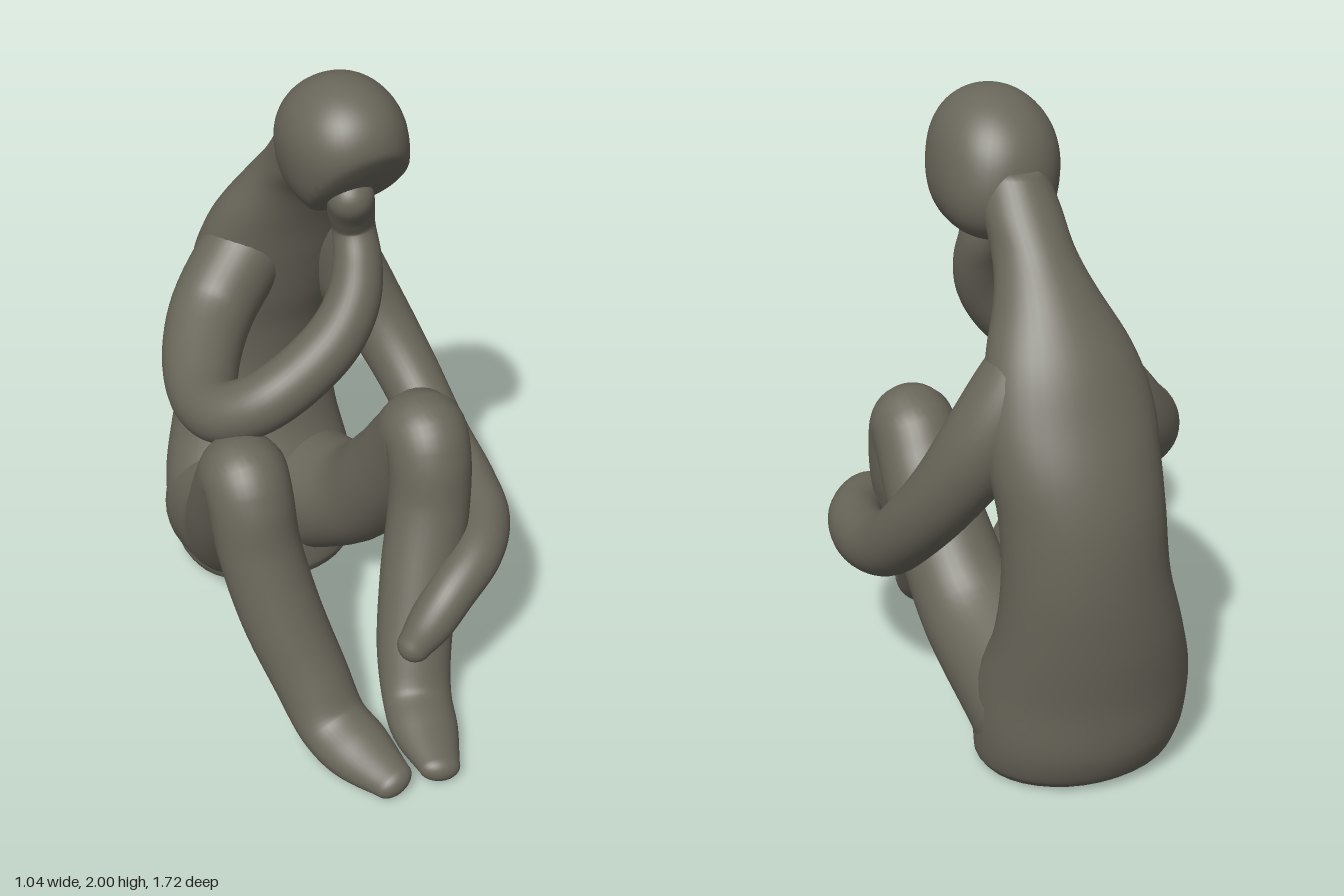
import * as THREE from 'three';

const SIDES = 36;
const clay = new THREE.MeshStandardMaterial({ color: 0x69665a });
clay.name = 'grey clay';
const base = new THREE.MeshStandardMaterial({ color: 0xc79470 });
base.name = 'brown underside';

// Skin a list of rings; faces lying flat on the ground become a separate underside mesh
function loft(name, rings) {
  const pos = [], skin = [], under = [];
  const centre = (r) => r.reduce((s, p) => s.add(p), new THREE.Vector3()).divideScalar(r.length);
  const last = rings.length - 1;
  const all = [...rings.flat(), centre(rings[0]), centre(rings[last])];
  all.forEach((p) => pos.push(p.x, p.y, p.z));
  const face = (...f) => {
    const flat = f.every((i) => all[i].y < 0.0005);
    (flat ? under : skin).push(...f);
  };
  const c0 = rings.length * SIDES;
  for (let j = 0; j < SIDES; j++) {
    const k = (j + 1) % SIDES;
    for (let i = 0; i < last; i++) {
      const a = i * SIDES + j, b = i * SIDES + k;
      face(a, b, a + SIDES);
      face(b, b + SIDES, a + SIDES);
    }
    face(c0, k, j);
    face(c0 + 1, last * SIDES + j, last * SIDES + k);
  }
  const group = new THREE.Group();
  group.name = name;
  [[skin, clay, 'Skin'], [under, base, 'Underside']].forEach(([index, material, suffix]) => {
    if (!index.length) return;
    const g = new THREE.BufferGeometry();
    g.setAttribute('position', new THREE.Float32BufferAttribute(pos, 3));
    g.setIndex(index);
    g.computeVertexNormals();
    const mesh = new THREE.Mesh(g, material);
    mesh.name = name + suffix;
    group.add(mesh);
  });
  return group;
}

// Sweep an ellipse along points [x, y, z, half width, half height]
// upright keeps every ring level; otherwise rings follow the path and ends are rounded
function sweep(name, pts, upright = false) {
  const path = new THREE.CatmullRomCurve3(pts.map((p) => new THREE.Vector3(p[0], p[1], p[2])));
  const size = new THREE.CatmullRomCurve3(
    pts.map((p) => new THREE.Vector3(p[3], p[4] ?? p[3], 0)), false, 'catmullrom');
  const steps = (pts.length - 1) * 6;
  const rings = [];
  const n = new THREE.Vector3(1, 0, 0);
  const addRing = (c, t, s, scale = 1) => {
    const b = new THREE.Vector3().crossVectors(t, n);
    const ring = [];
    for (let j = 0; j < SIDES; j++) {
      const a = (j / SIDES) * Math.PI * 2;
      ring.push(c.clone()
        .addScaledVector(n, Math.cos(a) * s.x * scale)
        .addScaledVector(b, Math.sin(a) * s.y * scale));
    }
    ring.forEach((p) => { p.y = Math.max(0, p.y); });
    rings.push(ring);
  };
  const cap = (c, t, s, dir) => {
    for (let i = 1; i <= 7; i++) {
      const a = ((dir < 0 ? 8 - i : i) / 8) * Math.PI / 2;
      const r = Math.min(s.x, s.y);
      addRing(c.clone().addScaledVector(t, dir * r * Math.sin(a)), t, s, Math.cos(a));
    }
  };
  for (let i = 0; i <= steps; i++) {
    const u = i / steps;
    const c = path.getPoint(u), s = size.getPoint(u);
    const t = upright ? new THREE.Vector3(0, 1, 0) : path.getTangent(u);
    n.addScaledVector(t, -n.dot(t)).normalize();
    if (i === 0 && !upright) cap(c, t, s, -1);
    addRing(c, t, s);
    if (i === steps && !upright) cap(c, t, s, 1);
  }
  return loft(name, rings);
}

// Egg-shaped head, boxier at the jaw, leaning forward, with a flattened face that looks down
function makeHead() {
  const g = new THREE.SphereGeometry(1, 48, 36);
  const p = g.attributes.position;
  const v = new THREE.Vector3();
  const face = new THREE.Vector3(0, -0.67, 0.742);
  const radii = new THREE.Vector3(0.188, 0.219, 0.23);
  for (let i = 0; i < p.count; i++) {
    v.fromBufferAttribute(p, i);
    const e = 2.28 - 0.22 * v.y;
    const sum = [v.x, v.y, v.z].reduce((s, c) => s + Math.abs(c) ** e, 0);
    v.multiplyScalar(sum ** (-1 / e)).multiply(radii);
    v.z += 0.15 * v.y;
    const s = v.dot(face);
    if (s > 0.14) v.addScaledVector(face, -(s - 0.14) * 0.6);
    p.setXYZ(i, v.x, v.y, v.z);
  }
  g.computeVertexNormals();
  const head = new THREE.Mesh(g, clay);
  head.name = 'head';
  head.position.set(0.035, 1.778, -0.05);
  head.rotation.z = 0.15;
  return head;
}

export function createModel() {
  const model = new THREE.Group();
  model.name = 'seatedFigure';

  // Hips, back, chest and neck
  model.add(sweep('torso', [
    [-0.05, 0, -0.5, 0.285, 0.225],
    [-0.05, 0.04, -0.515, 0.312, 0.255],
    [-0.055, 0.14, -0.54, 0.33, 0.27],
    [-0.06, 0.3, -0.56, 0.332, 0.265],
    [-0.045, 0.5, -0.63, 0.29, 0.22],
    [-0.02, 0.7, -0.66, 0.255, 0.2],
    [-0.01, 0.9, -0.645, 0.25, 0.2],
    [0, 1.05, -0.605, 0.258, 0.2],
    [0, 1.2, -0.555, 0.255, 0.185],
    [0.005, 1.35, -0.5, 0.215, 0.165],
    [0.015, 1.5, -0.415, 0.148, 0.14],
    [0.02, 1.6, -0.325, 0.12, 0.138],
    [0.025, 1.7, -0.24, 0.115, 0.135],
    [0.03, 1.8, -0.16, 0.1, 0.125],
  ], true));

  model.add(makeHead());

  // Left arm hanging around the shin
  model.add(sweep('leftArm', [
    [0.03, 1.38, -0.5, 0.11],
    [0.12, 1.26, -0.51, 0.13],
    [0.22, 1.1, -0.495, 0.13],
    [0.31, 0.92, -0.42, 0.115],
    [0.375, 0.75, -0.29, 0.105],
    [0.41, 0.6, -0.11, 0.1],
    [0.42, 0.53, 0.1, 0.095],
    [0.39, 0.515, 0.28, 0.088],
    [0.3, 0.5, 0.42, 0.082],
    [0.18, 0.435, 0.49, 0.078],
    [0.1, 0.355, 0.515, 0.073],
    [0.045, 0.295, 0.525, 0.056],
  ]));

  // Right arm propped on the knee, hand to the face
  model.add(sweep('rightArm', [
    [-0.02, 1.32, -0.52, 0.12],
    [-0.12, 1.2, -0.5, 0.14],
    [-0.25, 1.05, -0.44, 0.138],
    [-0.35, 0.975, -0.28, 0.125],
    [-0.4, 0.95, -0.1, 0.107],
    [-0.385, 0.98, 0.04, 0.098],
    [-0.3, 1.04, 0.115, 0.095],
    [-0.18, 1.12, 0.135, 0.093],
    [-0.06, 1.225, 0.13, 0.09],
    [0.01, 1.33, 0.105, 0.083],
    [0.04, 1.43, 0.065, 0.075],
    [0.045, 1.53, 0.022, 0.066],
    [0.03, 1.6, 0.038, 0.071],
    [0.012, 1.66, 0.075, 0.071],
  ]));

  // Bent legs: both share one side profile of y, z, half width and half height
  const legProfile = [
    [0.215, -0.5, 0.232, 0.235], [0.36, -0.2, 0.17, 0.172], [0.565, -0.02, 0.152, 0.152],
    [0.75, 0.11, 0.14, 0.14], [0.845, 0.19, 0.135, 0.135], [0.8, 0.235, 0.132, 0.132],
    [0.64, 0.275, 0.13, 0.128], [0.42, 0.35, 0.128, 0.122], [0.21, 0.445, 0.12, 0.11],
    [0.085, 0.54, 0.112, 0.09], [0.052, 0.66, 0.106, 0.078], [0.045, 0.81, 0.067, 0.045],
  ];
  const legs = {
    leftLeg: [0.06, 0.155, 0.195, 0.212, 0.215, 0.213, 0.2, 0.14, 0.08, 0.05, 0.025, 0.002],
    rightLeg: [-0.185, -0.285, -0.345, -0.375, -0.385, -0.385, -0.375, -0.335, -0.275, -0.24, -0.2, -0.155],
  };
  for (const [name, xs] of Object.entries(legs)) {
    model.add(sweep(name, legProfile.map((station, i) => [xs[i], ...station])));
  }
  return model;
}
